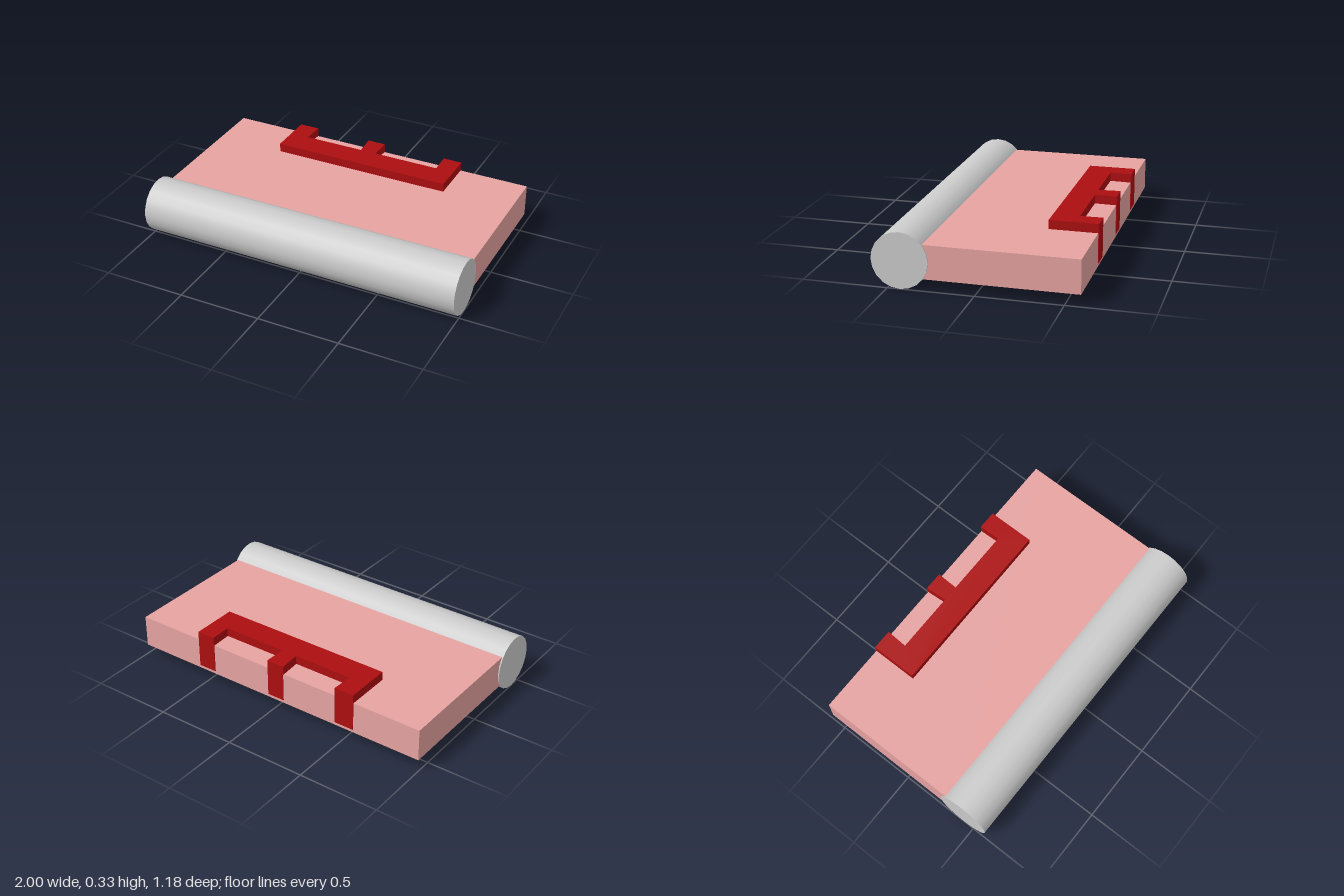
import * as THREE from 'three';

const RED = 0xac0e10;

function addPart(group, name, geometry, color) {
  const mesh = new THREE.Mesh(geometry, new THREE.MeshStandardMaterial({ color }));
  mesh.name = name;
  group.add(mesh);
  return mesh;
}

// Box given by its minimum and maximum corners
function boxBetween(a, b) {
  const geometry = new THREE.BoxGeometry(b[0] - a[0], b[1] - a[1], b[2] - a[2]);
  return geometry.translate((a[0] + b[0]) / 2, (a[1] + b[1]) / 2, (a[2] + b[2]) / 2);
}

export function createModel() {
  const group = new THREE.Group();
  group.name = 'model';

  // Round bar along the front edge
  const roller = new THREE.CylinderGeometry(0.165, 0.165, 2, 20);
  roller.rotateZ(Math.PI / 2).translate(0, 0.166, 0.427);
  addPart(group, 'frontRoller', roller, 0xcccccc);

  // Flat slab running back from the roller
  addPart(group, 'slab', boxBetween([-0.993, 0.068, -0.589], [0.993, 0.267, 0.4]), 0xe6a3a1);

  // Three-pronged plate on top, drawn in plan with the back edge upward
  const outline = [
    [-0.56, 0.305], [0.56, 0.305], [0.56, 0.593], [0.443, 0.593], [0.447, 0.46],
    [0.035, 0.46], [0.04, 0.593], [-0.075, 0.593], [-0.066, 0.46],
    [-0.442, 0.46], [-0.435, 0.593], [-0.56, 0.593],
  ].map(([x, y]) => new THREE.Vector2(x, y));
  const plate = new THREE.ExtrudeGeometry(new THREE.Shape(outline), { depth: 0.055, bevelEnabled: false });
  plate.rotateX(-Math.PI / 2).translate(0, 0.266, 0);
  addPart(group, 'prongedPlate', plate, RED);

  // Tabs folding down over the back face
  for (const [x0, x1] of [[-0.56, -0.435], [-0.07, 0.04], [0.443, 0.56]]) {
    addPart(group, 'backTab', boxBetween([x0, 0.088, -0.593], [x1, 0.28, -0.57]), RED);
  }
  return group;
}
